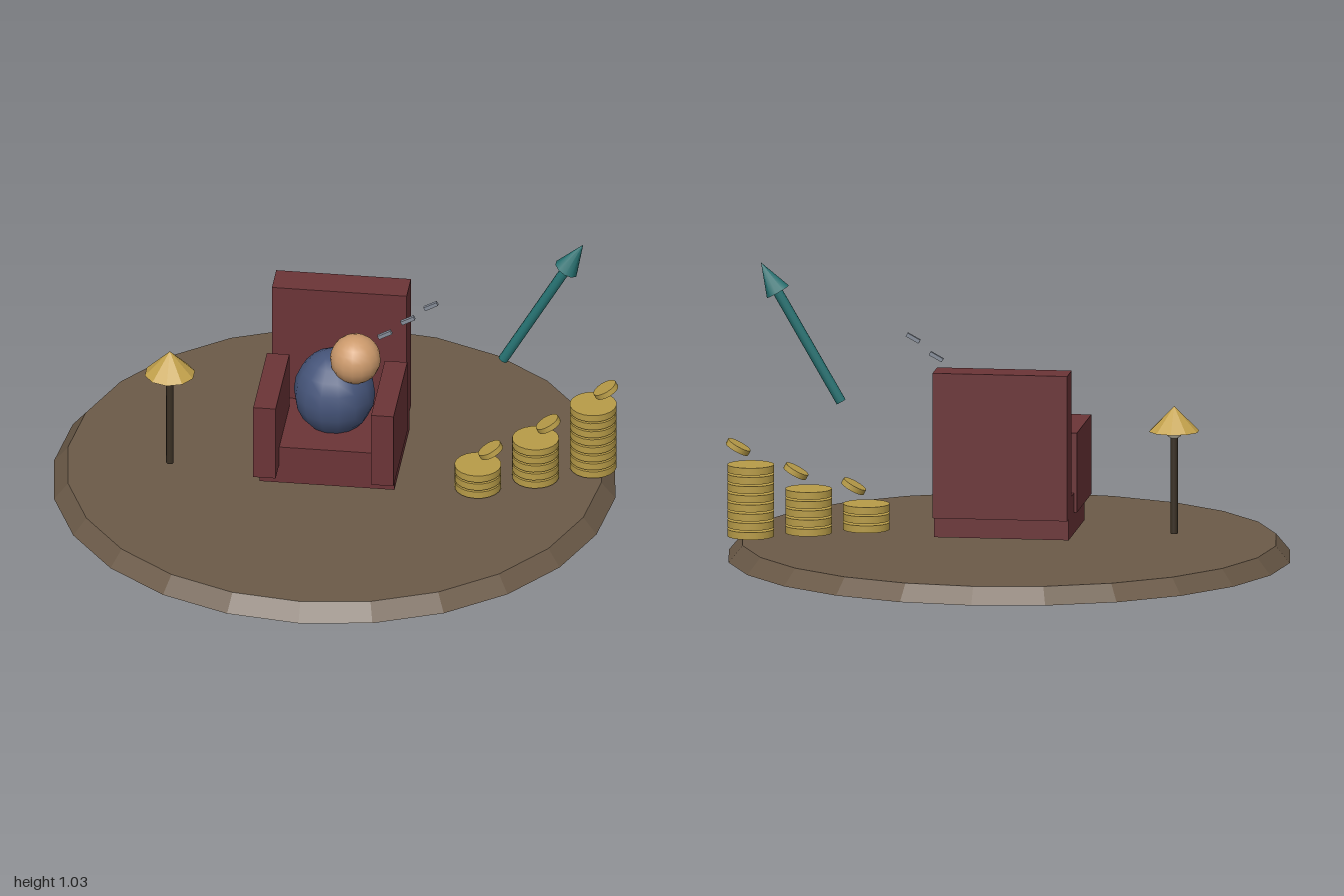
import * as THREE from 'three';

const paint = (color, flatShading = false) => new THREE.MeshStandardMaterial({ color, flatShading });

export function createModel() {
  const model = new THREE.Group();
  // the whole scene is laid out square, then turned about the vertical axis
  const scene = new THREE.Group();
  scene.name = 'scene';
  scene.rotation.y = 0.635;
  model.add(scene);

  const wood = paint(0x6b5a48, true), leather = paint(0x6b3437, true), cloth = paint(0x46557a);
  const skin = paint(0xcc9a6c), gold = paint(0xb89c48), teal = paint(0x257070);
  const grey = paint(0x858c98, true), dark = paint(0x3a3024), brass = paint(0xc4a24c, true);
  const cream = paint(0xe8e0c8);

  const add = (name, geometry, material, x, y, z, parent = scene) => {
    const mesh = new THREE.Mesh(geometry, material);
    mesh.name = name;
    mesh.position.set(x, y, z);
    parent.add(mesh);
    return mesh;
  };
  const group = (name) => {
    const g = new THREE.Group();
    g.name = name;
    scene.add(g);
    return g;
  };

  // round platform
  add('platform', new THREE.CylinderGeometry(0.95, 1, 0.06, 24), wood, 0, 0.03, 0);

  // armchair
  const chair = group('armchair');
  add('seat', new THREE.BoxGeometry(0.48, 0.145, 0.42), leather, 0, 0.1725, 0, chair);
  add('backrest', new THREE.BoxGeometry(0.48, 0.52, 0.12), leather, 0, 0.435, -0.19, chair);
  for (const side of [-1, 1]) {
    add(side < 0 ? 'rightArm' : 'leftArm', new THREE.BoxGeometry(0.08, 0.285, 0.38),
      leather, side * 0.21, 0.3175, 0.12, chair);
  }

  // seated figure
  const figure = group('figure');
  add('body', new THREE.SphereGeometry(0.145, 14, 10), cloth, 0, 0.365, 0, figure).scale.y = 1.1;
  add('head', new THREE.SphereGeometry(0.09, 16, 12), skin, 0.08, 0.53, 0.045, figure);

  // dashed line of sight
  const gaze = group('gazeLine');
  for (let i = 0; i < 3; i++) {
    add('dash', new THREE.BoxGeometry(0.052, 0.014, 0.014), grey,
      0.185 + 0.082 * i, 0.637 + 0.065 * i, 0.045, gaze).rotation.z = 0.5;
  }

  // rising arrow
  const arrow = group('arrow');
  arrow.position.set(0.6, 0.54, 0);
  arrow.rotation.z = -0.525;
  add('arrowShaft', new THREE.CylinderGeometry(0.018, 0.018, 0.46, 10), teal, 0, 0.23, 0, arrow);
  add('arrowHead', new THREE.ConeGeometry(0.045, 0.12, 10), teal, 0, 0.51, 0, arrow);

  // growing coin stacks, each with a loose tilted coin on top
  const coin = new THREE.CylinderGeometry(0.083, 0.083, 0.026, 20);
  const looseCoin = new THREE.CylinderGeometry(0.045, 0.045, 0.02, 16);
  [3, 5, 8].forEach((count, i) => {
    const stack = group('coinStack');
    stack.position.set(0.523 + 0.193 * i, 0, 0.096 - 0.095 * i);
    for (let c = 0; c < count; c++) add('coin', coin, gold, 0, 0.081 + 0.033 * c, 0, stack);
    add('looseCoin', looseCoin, gold, 0.045, 0.122 + 0.033 * count, 0, stack).rotation.z = 0.5;
  });

  // floor lamp
  const lamp = group('lamp');
  lamp.position.set(-0.575, 0, 0.09);
  add('lampPost', new THREE.CylinderGeometry(0.013, 0.013, 0.37, 8), dark, 0, 0.265, 0, lamp);
  add('lampBulb', new THREE.SphereGeometry(0.032, 10, 8), cream, 0, 0.452, 0, lamp);
  add('lampShade', new THREE.ConeGeometry(0.09, 0.09, 10), brass, 0, 0.492, 0, lamp);

  return model;
}
